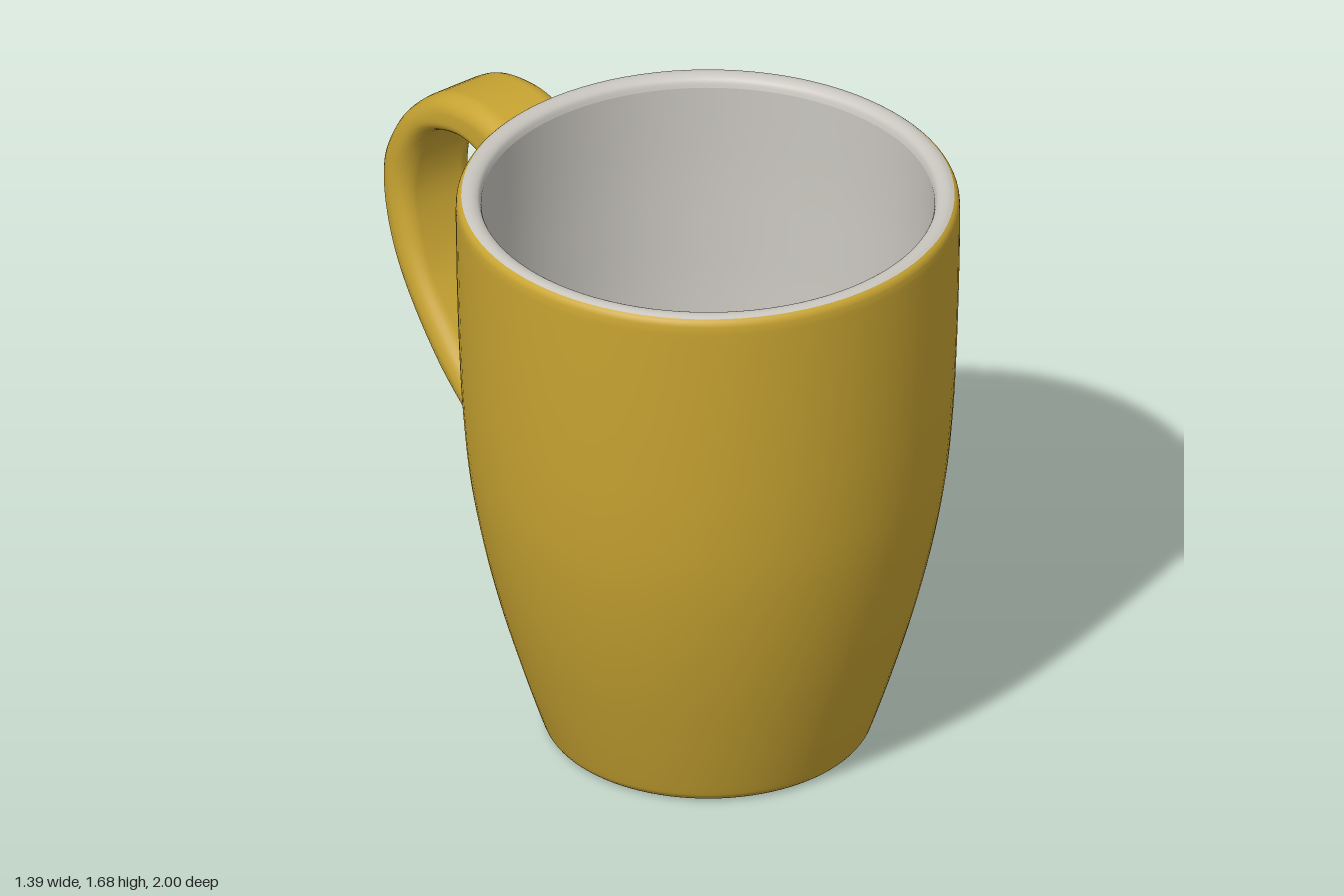
import * as THREE from 'three';

const CENTRE_Z = 0.305;
const yellowGlaze = new THREE.MeshStandardMaterial({ color: 0xc8a432 });
yellowGlaze.name = 'yellow glaze';
const paleGlaze = new THREE.MeshStandardMaterial({ color: 0xc9c6bf });
paleGlaze.name = 'pale grey glaze';

const vectors = (pairs) => pairs.map(([a, b]) => new THREE.Vector2(a, b));
const smooth = (pairs, n) => new THREE.SplineCurve(vectors(pairs)).getPoints(n);

function turned(name, points, material) {
  const mesh = new THREE.Mesh(new THREE.LatheGeometry(points, 96), material);
  mesh.name = name;
  mesh.position.z = CENTRE_Z;
  return mesh;
}

// Outline of a rounded rectangle, counter-clockwise
function roundedRing(halfW, halfT, radius, steps = 6) {
  const ring = [];
  [[1, 1], [-1, 1], [-1, -1], [1, -1]].forEach(([sx, sy], q) => {
    for (let k = 0; k <= steps; k++) {
      const a = (q + k / steps) * Math.PI / 2;
      ring.push([sx * (halfW - radius) + radius * Math.cos(a),
        sy * (halfT - radius) + radius * Math.sin(a)]);
    }
  });
  return ring;
}

// Strap handle lofted between an outer and an inner (z, y) curve
function createHandle() {
  const outer = new THREE.SplineCurve(vectors([
    [-0.35, 1.625], [-0.387, 1.595], [-0.415, 1.557], [-0.48, 1.565], [-0.61, 1.577],
    [-0.76, 1.54], [-0.9, 1.425], [-0.98, 1.29], [-1.0, 1.18], [-0.965, 1.01],
    [-0.885, 0.86], [-0.75, 0.69], [-0.6, 0.56], [-0.45, 0.435], [-0.35, 0.335],
    [-0.28, 0.262], [-0.23, 0.237], [-0.19, 0.225]]));
  const inner = new THREE.SplineCurve(vectors([
    [-0.35, 1.24], [-0.387, 1.26], [-0.425, 1.293], [-0.465, 1.36], [-0.54, 1.428],
    [-0.64, 1.45], [-0.77, 1.415], [-0.85, 1.325], [-0.885, 1.19], [-0.865, 1.06],
    [-0.805, 0.925], [-0.69, 0.785], [-0.58, 0.685], [-0.46, 0.61], [-0.39, 0.583],
    [-0.333, 0.575], [-0.31, 0.605], [-0.275, 0.64]]));
  const stations = 102, positions = [], index = [];
  let count = 0;
  for (let i = 0; i <= stations; i++) {
    const t = i / stations;
    const o = outer.getPoint(t), n = inner.getPoint(t);
    const halfT = o.distanceTo(n) / 2;
    const dir = o.clone().sub(n).normalize();
    const mid = o.clone().add(n).multiplyScalar(0.5);
    // slight flare where the handle meets the wall
    const flare = 0.012 * Math.max(0, 1 - Math.min(t, 1 - t) * 9);
    const ring = roundedRing(0.13 + flare, halfT, Math.min(0.058, halfT * 0.95));
    count = ring.length;
    for (const [x, d] of ring) positions.push(x, mid.y + dir.y * d, mid.x + dir.x * d);
  }
  for (let i = 0; i < stations; i++) {
    for (let j = 0; j < count; j++) {
      const a = i * count + j, b = i * count + (j + 1) % count;
      const c = a + count, d = b + count;
      index.push(a, c, b, b, c, d);
    }
  }
  const geometry = new THREE.BufferGeometry();
  geometry.setAttribute('position', new THREE.Float32BufferAttribute(positions, 3));
  geometry.setIndex(index);
  geometry.computeVertexNormals();
  const mesh = new THREE.Mesh(geometry, yellowGlaze);
  mesh.name = 'handle';
  return mesh;
}

export function createModel() {
  const mug = new THREE.Group();
  mug.name = 'mug';

  // Outer wall with rounded shoulder below the rim
  mug.add(turned('outerWall', smooth([
    [0.437, 0.003], [0.449, 0.015], [0.462, 0.045], [0.513, 0.2], [0.572, 0.4], [0.62, 0.6],
    [0.655, 0.8], [0.674, 1.0], [0.684, 1.2], [0.69, 1.4], [0.693, 1.6], [0.692, 1.645],
    [0.687, 1.662], [0.678, 1.671]], 78), yellowGlaze));

  // Pale rim, inside wall and floor
  mug.add(turned('rim', smooth([
    [0.678, 1.671], [0.663, 1.676], [0.645, 1.674], [0.63, 1.664], [0.623, 1.645]], 16), paleGlaze));
  mug.add(turned('innerWall', smooth([
    [0.623, 1.645], [0.621, 1.4], [0.614, 1.2], [0.604, 1.0], [0.585, 0.8], [0.55, 0.6],
    [0.503, 0.4], [0.448, 0.2], [0.425, 0.13]], 48), paleGlaze));
  mug.add(turned('innerFloor', vectors([[0.425, 0.13], [0.4, 0.115], [0.36, 0.11], [0, 0.11]]), paleGlaze));

  // Unglazed foot ring around a recessed base
  mug.add(turned('footRing', vectors([[0.385, 0.003], [0.392, 0], [0.43, 0], [0.437, 0.003]]), paleGlaze));
  mug.add(turned('recessWall', vectors([[0.37, 0.045], [0.385, 0.003]]), yellowGlaze));
  mug.add(turned('recessBase', vectors([[0, 0.045], [0.37, 0.045]]), yellowGlaze));

  mug.add(createHandle());
  return mug;
}
